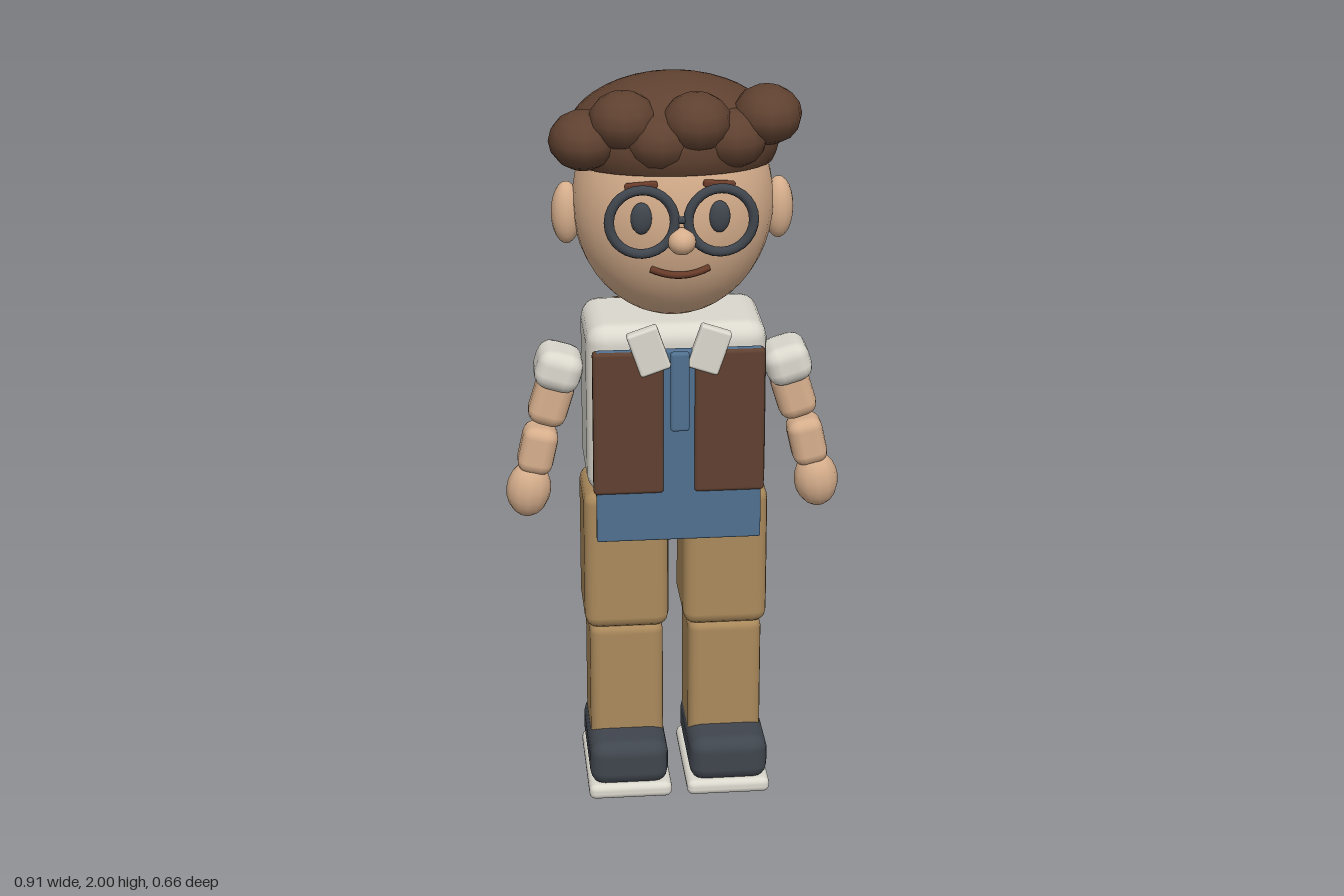
import * as THREE from 'three';
import { RoundedBoxGeometry } from 'three/addons/geometries/RoundedBoxGeometry.js';

const mat = (name, color) => {
  const m = new THREE.MeshStandardMaterial({ color });
  m.name = name;
  return m;
};

export function createModel() {
  const skin = mat('skin', 0xd6ae8c);
  const hairBrown = mat('hair brown', 0x5f4130);
  const vestBrown = mat('vest brown', 0x5f4030);
  const lipBrown = mat('lip and brow brown', 0x6a3c2a);
  const cloth = mat('off white', 0xdbd8ce);
  const tan = mat('trouser tan', 0xab8a5c);
  const canvas = mat('backpack canvas', 0xb08d58);
  const blue = mat('shirt blue', 0x50708f);
  const slate = mat('dark slate', 0x40464e);
  hairBrown.side = THREE.DoubleSide;

  const model = new THREE.Group();
  model.name = 'character';

  const add = (name, geometry, material, pos, rot = [0, 0, 0]) => {
    const mesh = new THREE.Mesh(geometry, material);
    mesh.name = name;
    mesh.position.set(...pos);
    mesh.rotation.set(...rot);
    model.add(mesh);
    return mesh;
  };
  const block = (name, material, size, radius, pos, rot) =>
    add(name, new RoundedBoxGeometry(...size, 2, radius), material, pos, rot);
  const ball = (name, material, radii, pos, rot, w = 16, h = 12) =>
    add(name, new THREE.SphereGeometry(1, w, h).scale(...radii), material, pos, rot);

  // Head and face
  ball('head', skin, [0.265, 0.31, 0.225], [0, 1.665, 0.045], undefined, 32, 24);
  ball('nose', skin, [0.037, 0.035, 0.04], [0, 1.625, 0.288]);
  const smile = new THREE.QuadraticBezierCurve3(
    new THREE.Vector3(-0.075, 1.538, 0.242),
    new THREE.Vector3(0, 1.51, 0.272),
    new THREE.Vector3(0.075, 1.538, 0.242));
  add('mouth', new THREE.TubeGeometry(smile, 12, 0.01, 6), lipBrown, [0, 0, 0]);

  // Hair cap, tilted up at the front
  const cap = new THREE.SphereGeometry(1, 28, 14, 0, Math.PI * 2, 0, Math.PI * 0.62);
  add('hairCap', cap.scale(0.28, 0.17, 0.245), hairBrown, [0, 1.83, 0.03], [-0.09, 0, 0]);
  const rim = new THREE.CircleGeometry(1, 28).rotateX(Math.PI / 2).scale(0.26, 1, 0.228);
  add('hairCapUnderside', rim, hairBrown, [0, 1.768, 0.036], [-0.09, 0, 0]);

  // Fringe curls alternate low and high
  [
    [-0.24, 1.86, 0.155], [-0.14, 1.915, 0.18], [-0.05, 1.865, 0.2],
    [0.045, 1.915, 0.21], [0.14, 1.865, 0.185], [0.232, 1.917, 0.157],
  ].forEach((p, i) =>
    ball(`fringeCurl${i + 1}`, hairBrown, [0.09, 0.076, i % 5 ? 0.095 : 0.108], p, undefined, 12, 8));

  // Braid of shrinking beads
  [1.66, 1.578, 1.5, 1.43, 1.37, 1.318].forEach((y, i) => {
    const s = 1 - i * 0.075;
    ball(`braid${i + 1}`, hairBrown, [0.07 * s, 0.055 * s, 0.054 * s], [0, y, -0.225 - i * 0.0055], undefined, 12, 8);
  });

  // Torso and clothes
  block('torso', cloth, [0.48, 0.48, 0.3], 0.05, [0, 1.12, 0.04]);
  block('shirtFront', blue, [0.44, 0.54, 0.024], 0.006, [0, 1.037, 0.214]);
  block('tie', blue, [0.05, 0.22, 0.022], 0.008, [0, 1.2, 0.245]);

  // Backpack
  block('backpack', canvas, [0.35, 0.39, 0.165], 0.045, [0, 1.105, -0.207]);
  block('backpackPocket', canvas, [0.25, 0.155, 0.045], 0.018, [0, 1.013, -0.308]);

  // Mirrored parts: side 1 is the model's left
  for (const s of [-1, 1]) {
    const n = (part) => (s > 0 ? 'left' : 'right') + part;

    ball(n('Ear'), skin, [0.04, 0.084, 0.043], [s * 0.28, 1.635, 0.04]);
    ball(n('Eye'), slate, [0.028, 0.042, 0.016], [s * 0.1, 1.678, 0.255]);
    add(n('GlassesRim'), new THREE.TorusGeometry(0.084, 0.013, 8, 28), slate, [s * 0.101, 1.677, 0.284]);
    block(n('Eyebrow'), lipBrown, [0.085, 0.018, 0.018], 0.006, [s * 0.1, 1.762, 0.247], [0, s * 0.2, -s * 0.12]);

    block(n('VestPanel'), vestBrown, [0.187, 0.4, 0.036], 0.01, [s * 0.134, 1.106, 0.215]);
    block(n('Collar'), cloth, [0.085, 0.122, 0.034], 0.008, [s * 0.08, 1.308, 0.222], [0, 0, -s * 0.33]);
    block(n('Strap'), canvas, [0.036, 0.385, 0.02], 0.008, [s * 0.172, 1.138, -0.153], [0.07, 0, 0]);

    block(n('Sleeve'), cloth, [0.125, 0.11, 0.155], 0.04, [s * 0.308, 1.206, 0.04], [0, 0, s * 0.3]);
    block(n('UpperArm'), skin, [0.105, 0.145, 0.1], 0.035, [s * 0.328, 1.115, 0.04], [0, 0, s * 0.3]);
    block(n('Forearm'), skin, [0.096, 0.135, 0.102], 0.032, [s * 0.367, 0.975, 0.046], [0, 0, s * 0.22]);
    ball(n('Hand'), skin, [0.061, 0.079, 0.054], [s * 0.394, 0.86, 0.054], [0, 0, s * 0.12], 12, 10);

    block(n('Thigh'), tan, [0.23, 0.405, 0.242], 0.035, [s * 0.135, 0.677, 0.044]);
    block(n('Shin'), tan, [0.202, 0.38, 0.222], 0.03, [s * 0.136, 0.295, 0.044]);
    block(n('Shoe'), slate, [0.216, 0.13, 0.335], 0.04, [s * 0.138, 0.102, 0.094]);
    block(n('Sole'), cloth, [0.23, 0.044, 0.348], 0.018, [s * 0.136, 0.024, 0.093]);
  }

  // Glasses bridge
  add('glassesBridge', new THREE.CylinderGeometry(0.01, 0.01, 0.03, 8), slate, [0, 1.68, 0.284], [0, 0, Math.PI / 2]);

  return model;
}
